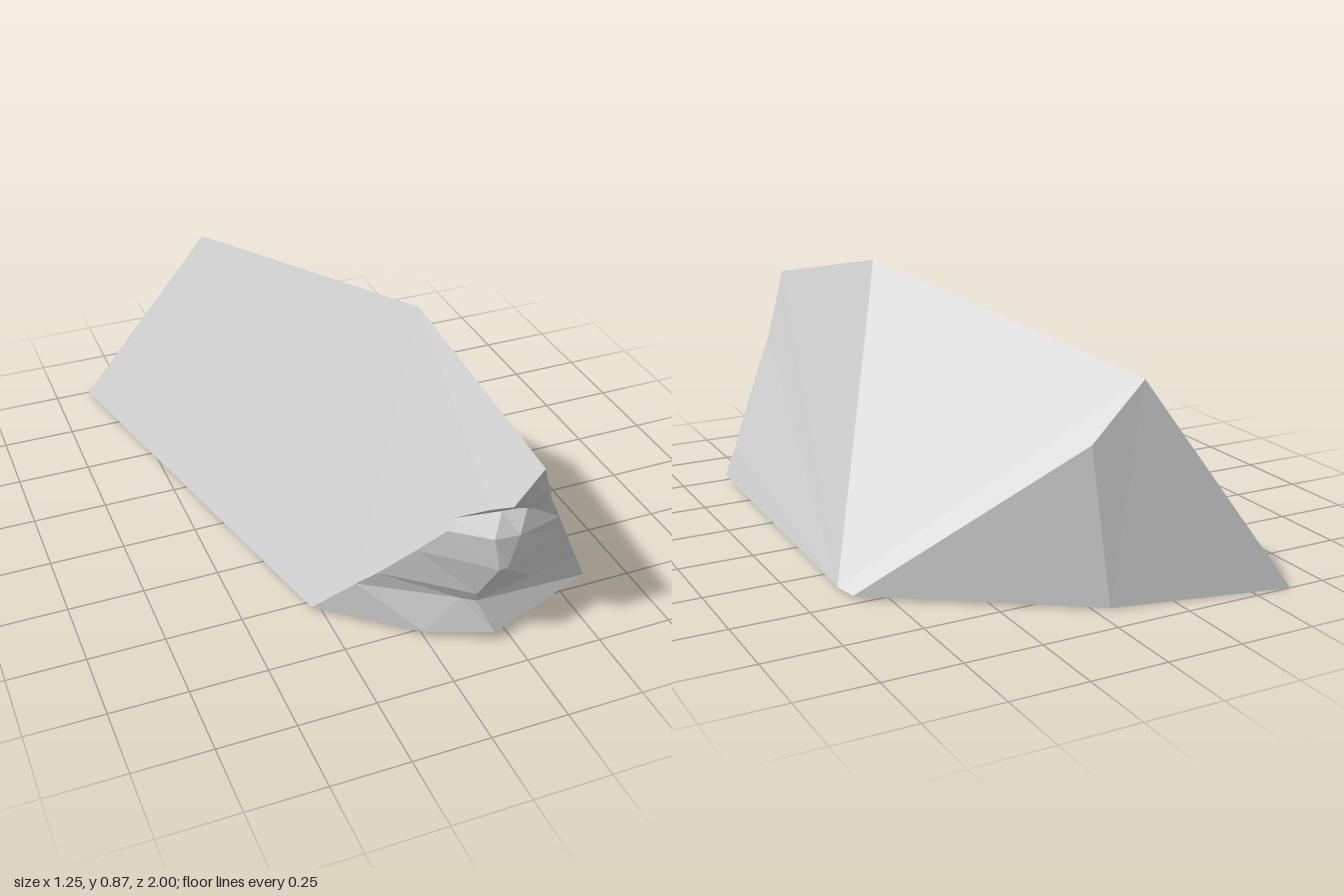
import * as THREE from 'three';

const v = (x, y, z) => new THREE.Vector3(x, y, z);
const core = v(0.05, 0.3, 0);

// Flat mesh from a list of triangle corners
function facetMesh(name, corners) {
  const geometry = new THREE.BufferGeometry().setFromPoints(corners);
  geometry.computeVertexNormals();
  const material = new THREE.MeshStandardMaterial({ color: 0xcccccc, flatShading: true });
  const mesh = new THREE.Mesh(geometry, material);
  mesh.name = name;
  return mesh;
}

// Fill an outline, seen along one axis, with triangles facing away from the core
function fillOutline(points, dropAxis) {
  const [p, q] = ['x', 'y', 'z'].filter((axis) => axis !== dropAxis);
  const flat = points.map((c) => new THREE.Vector2(c[p], c[q]));
  return THREE.ShapeUtils.triangulateShape(flat, []).flatMap((ids) => {
    const [a, b, c] = ids.map((i) => points[i]);
    const normal = b.clone().sub(a).cross(c.clone().sub(a));
    return normal.dot(a.clone().sub(core)) > 0 ? [a, b, c] : [a, c, b];
  });
}

// Join rows of points running left to right, from top to bottom
function loftRows(rows) {
  const corners = [];
  for (let i = 0; i < rows.length - 1; i++) {
    for (let j = 0; j < rows[i].length - 1; j++) {
      const a = rows[i][j], b = rows[i][j + 1];
      const d = rows[i + 1][j], c = rows[i + 1][j + 1];
      corners.push(a, d, c);
      if (a !== b) corners.push(a, c, b);
    }
  }
  return corners;
}

export function createModel() {
  const rock = new THREE.Group();
  rock.name = 'rock';

  // Ridge along the top
  const ridgeBack = v(-0.18, 0.68, -0.83);
  const peak = v(0.185, 0.875, 0.28);
  const ridgeFront = v(0.25, 0.715, 1.0);

  // Back and side corners
  const tail = v(-0.625, 0.003, -1.0);
  const backShoulder = v(-0.01, 0.5, -0.82);
  const backFoot = v(-0.05, 0.005, -0.88);
  const sideFoot = v(0.6, 0.015, -0.47);
  const sideCorner = v(0.625, 0.025, -0.41);

  // Broken front: overhang, ledge, bulge, undercut and sloping foot
  const rows = [
    [ridgeFront, ridgeFront, ridgeFront, ridgeFront],
    [v(0.17, 0.59, 0.98), v(0.2, 0.635, 0.985), v(0.25, 0.64, 0.97), v(0.285, 0.64, 0.96)],
    [v(0.13, 0.55, 0.92), v(0.2, 0.54, 0.92), v(0.27, 0.51, 0.91), v(0.33, 0.52, 0.92)],
    [v(0.06, 0.47, 0.82), v(0.2, 0.485, 0.86), v(0.275, 0.495, 0.88), v(0.355, 0.495, 0.885)],
    [v(0.04, 0.435, 0.83), v(0.15, 0.435, 0.92), v(0.24, 0.42, 0.91), v(0.4, 0.41, 0.86)],
    [v(-0.03, 0.34, 0.77), v(0.165, 0.33, 0.935), v(0.19, 0.33, 0.935), v(0.44, 0.33, 0.83)],
    [v(-0.12, 0.22, 0.69), v(0.13, 0.2, 0.87), v(0.3, 0.225, 0.88), v(0.52, 0.17, 0.78)],
    [v(-0.17, 0.155, 0.64), v(0.1, 0.155, 0.82), v(0.14, 0.155, 0.85), v(0.55, 0.13, 0.74)],
    [v(-0.28, 0.015, 0.54), v(0, 0.025, 0.79), v(0.19, 0.045, 0.89), v(0.595, 0.03, 0.73)],
  ];
  const rightEdge = rows.map((row) => row[0]);
  const leftEdge = rows.map((row) => row[3]);
  const footEdge = rows[rows.length - 1];
  rock.add(facetMesh('brokenFront', loftRows(rows)));

  // Broad flanks that end at the broken edge
  rock.add(facetMesh('rightFlank', fillOutline([tail, ridgeBack, peak, ...rightEdge], 'x')));
  rock.add(facetMesh('leftFlank', fillOutline([sideCorner, peak, ...leftEdge], 'x')));

  // Facets closing the back
  rock.add(facetMesh('backFacets', [
    ...fillOutline([peak, ridgeBack, sideCorner], 'x'),
    ...fillOutline([ridgeBack, backShoulder, sideFoot], 'x'),
    ...fillOutline([ridgeBack, sideFoot, sideCorner], 'x'),
    ...fillOutline([backShoulder, backFoot, sideFoot], 'z'),
    ...fillOutline([ridgeBack, tail, backFoot, backShoulder], 'z'),
  ]));

  // Nearly flat underside
  rock.add(facetMesh('underside',
    fillOutline([tail, ...footEdge, sideCorner, sideFoot, backFoot], 'y')));

  return rock;
}
